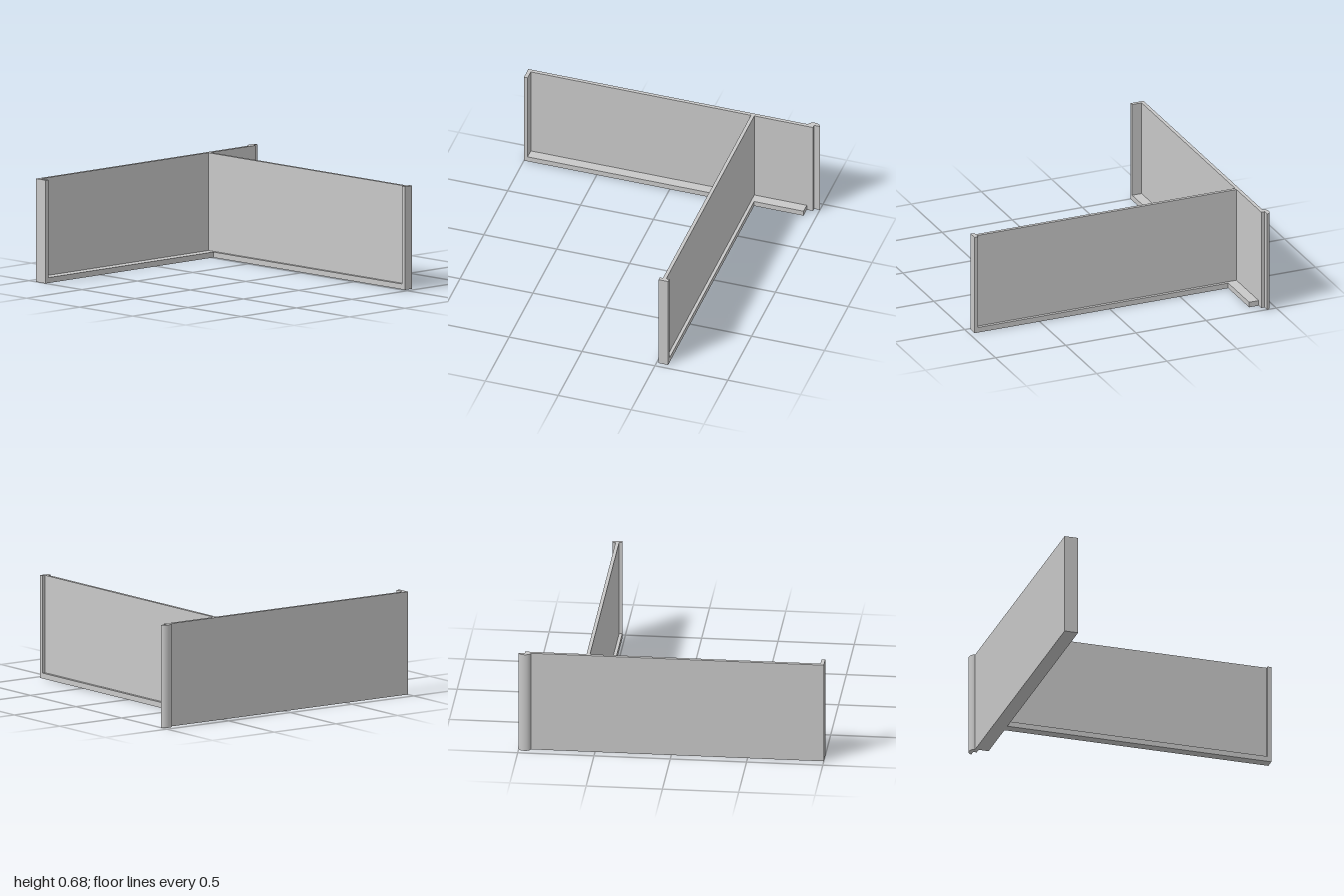
import * as THREE from 'three';

export function createModel() {
  const model = new THREE.Group();
  const grey = new THREE.MeshStandardMaterial({ color: 0xc8c8c8 });
  grey.name = 'panel light grey';

  const H = 0.682;        // panel height
  const FLANGE = 0.036;   // height of the floor flanges
  const BACK = -0.935, WALL = -0.911, LIP = -0.843, END = 0.964;
  const EDGE = 0.96, RADIUS = 0.04;   // free edge of the rear wall and its round

  const add = (parent, name, geometry) => {
    const mesh = new THREE.Mesh(geometry, grey);
    mesh.name = name;
    parent.add(mesh);
    return mesh;
  };

  // Box given by its x, y and z extents
  const box = (parent, name, [x0, x1], [y0, y1], [z0, z1]) =>
    add(parent, name, new THREE.BoxGeometry(x1 - x0, y1 - y0, z1 - z0))
      .position.set((x0 + x1) / 2, (y0 + y1) / 2, (z0 + z1) / 2);

  // Long rear wall with an end post and a floor flange
  const rear = new THREE.Group();
  rear.name = 'rearWall';
  box(rear, 'rearPanel', [-1, EDGE], [0, H], [BACK, WALL]);
  box(rear, 'rearEndPost', [-1, -0.975], [0, H], [WALL, LIP]);
  box(rear, 'rearFloorFlange', [-0.975, 0.918], [0, FLANGE], [WALL, LIP]);

  // Rounded joining strip on the free edge of the rear wall
  const strip = new THREE.Group();
  strip.name = 'joiningStrip';
  const round = add(strip, 'stripRound',
    new THREE.CylinderGeometry(RADIUS, RADIUS, H, 32, 1, false, Math.PI / 2, Math.PI));
  round.scale.z = (BACK + END) / RADIUS;
  round.position.set(EDGE, H / 2, BACK);
  add(strip, 'stripFlatFace', new THREE.PlaneGeometry(RADIUS, H))
    .position.set(EDGE + RADIUS / 2, H / 2, BACK);
  rear.add(strip);

  // Partition: thin web, floor flange on both sides and an end post
  const partition = new THREE.Group();
  partition.name = 'partition';
  box(partition, 'partitionPanel', [0.535, 0.558], [FLANGE, H], [WALL, 0.938]);
  box(partition, 'partitionFloorFlange', [0.514, 0.579], [0, FLANGE], [LIP, 0.938]);
  box(partition, 'partitionEndPost', [0.514, 0.579], [0, H], [0.938, END]);

  model.add(rear, partition);
  return model;
}
